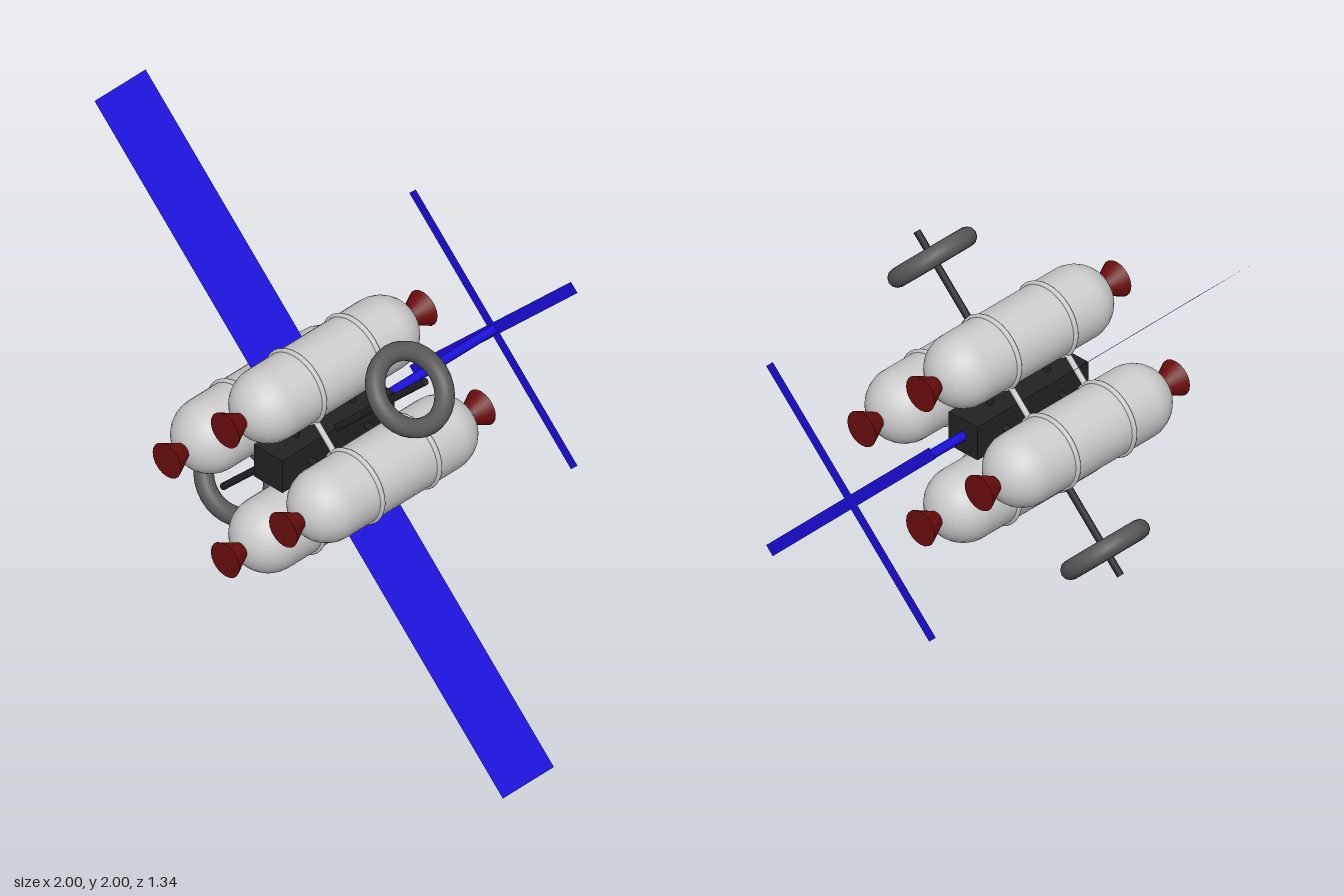
import * as THREE from 'three';

const mat = (color, side = THREE.FrontSide) => new THREE.MeshStandardMaterial({ color, side });
const grey = mat(0xcccccc), dark = mat(0x222222), rubber = mat(0x595959), red = mat(0x6a0c0c);
const blue = mat(0x1a0edc, THREE.DoubleSide);

const TANK_R = 0.14, TANK_OFFSET = 0.285, BAND_Z = 0.142;

function add(parent, name, geometry, material, x = 0, y = 0, z = 0) {
  const mesh = new THREE.Mesh(geometry, material);
  mesh.name = name;
  mesh.position.set(x, y, z);
  parent.add(mesh);
  return mesh;
}

// Round bar between two points
function bar(parent, name, a, b, radius, material) {
  const dir = b.clone().sub(a);
  const mesh = add(parent, name, new THREE.CylinderGeometry(radius, radius, dir.length(), 10), material);
  mesh.position.copy(a).add(b).multiplyScalar(0.5);
  mesh.quaternion.setFromUnitVectors(new THREE.Vector3(0, 1, 0), dir.normalize());
  return mesh;
}

// Capsule tank along z with two bands and a nozzle at each end
function makeTank() {
  const tank = new THREE.Group();
  tank.name = 'tank';
  add(tank, 'tankShell', new THREE.CapsuleGeometry(TANK_R, 0.56, 8, 28).rotateX(Math.PI / 2), grey);
  for (const s of [-1, 1]) {
    add(tank, 'tankBand', new THREE.TorusGeometry(TANK_R, 0.01, 8, 32), grey, 0, 0, s * BAND_Z);
    const cone = new THREE.ConeGeometry(0.07, 0.14, 20).rotateX(-s * Math.PI / 2);
    add(tank, 'nozzle', cone, red, 0, 0, s * 0.425);
  }
  return tank;
}

export function createModel() {
  const model = new THREE.Group();
  model.name = 'spacecraft';
  const body = new THREE.Group();
  body.name = 'body';
  body.position.set(0, 1, 0.175);
  model.add(body);

  // Central core
  add(body, 'core', new THREE.BoxGeometry(0.14, 0.14, 0.56), dark);

  // Four tanks, tied to the core and to each other
  const at = (i, r, z) => {
    const a = i * Math.PI / 2;
    return new THREE.Vector3(Math.cos(a) * r, Math.sin(a) * r, z);
  };
  for (let i = 0; i < 4; i++) {
    const tank = makeTank();
    tank.position.copy(at(i, TANK_OFFSET, 0));
    body.add(tank);
    for (const z of [-BAND_Z, BAND_Z]) {
      bar(body, 'coreStrut', at(i, 0.05, z), at(i, 0.17, z), 0.0125, dark);
      bar(body, 'tankStrut', at(i, TANK_OFFSET, z), at(i + 1, TANK_OFFSET, z), 0.011, grey);
    }
  }

  // Diagonal axle with a ring near each end
  const axis = new THREE.Vector3(1, 1, 0).normalize();
  bar(body, 'axle', axis.clone().multiplyScalar(-0.7), axis.clone().multiplyScalar(0.7), 0.0135, dark);
  for (const s of [-1, 1]) {
    const ring = add(body, 'ring', new THREE.TorusGeometry(0.141, 0.036, 12, 32), rubber, s * 0.42, s * 0.42, 0);
    ring.quaternion.setFromUnitVectors(new THREE.Vector3(0, 0, 1), axis);
  }

  // Long thin panel across the other diagonal
  const panel = add(body, 'solarPanel', new THREE.PlaneGeometry(2 * Math.SQRT2, 0.255).rotateX(-Math.PI / 2), blue);
  panel.rotation.z = -Math.PI / 4;

  // Rear boom with a flat cross at its tip
  bar(body, 'rearBoom', new THREE.Vector3(0, 0, -0.27), new THREE.Vector3(0, 0, -0.845), 0.018, blue);
  for (const s of [-1, 1]) {
    const arm = add(body, 'antennaArm', new THREE.PlaneGeometry(1.12, 0.045), blue, 0, 0, -0.845);
    arm.rotation.z = s * Math.PI / 4;
  }
  return model;
}
